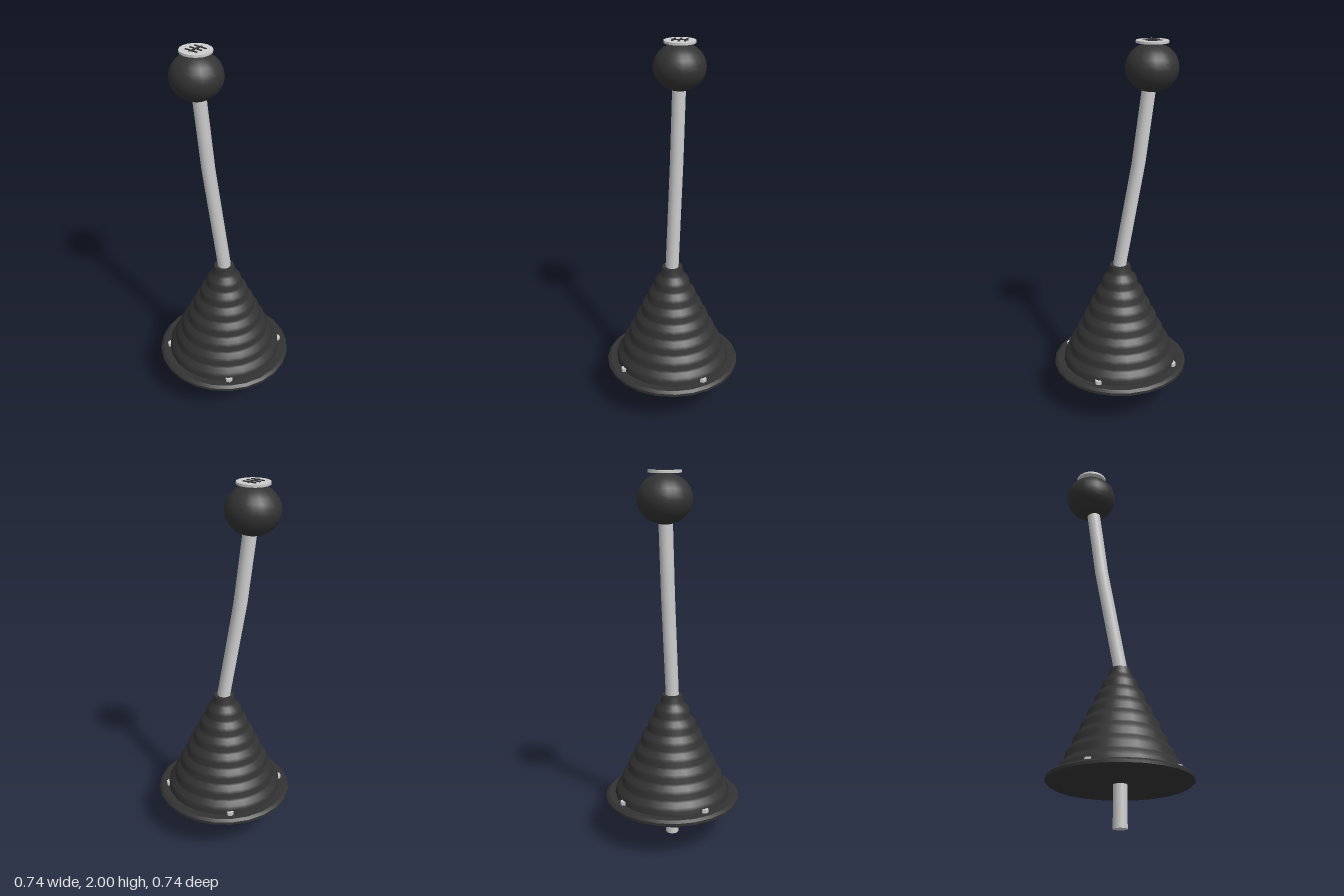
import * as THREE from 'three';
import { toCreasedNormals } from 'three/addons/utils/BufferGeometryUtils.js';

const SIDES = 24;
const KNOB_X = -0.175;

export function createModel() {
  const group = new THREE.Group();
  const rubber = new THREE.MeshStandardMaterial({ color: 0x333333 });
  rubber.name = 'blackRubber';
  const metal = new THREE.MeshStandardMaterial({ color: 0xcccccc });
  metal.name = 'lightMetal';

  const add = (name, geometry, material, x = 0, y = 0, z = 0) => {
    const mesh = new THREE.Mesh(geometry, material);
    mesh.name = name;
    mesh.position.set(x, y, z);
    group.add(mesh);
    return mesh;
  };
  const lathe = (points) =>
    new THREE.LatheGeometry(points.map(([r, y]) => new THREE.Vector2(r, y)), SIDES);

  // Base flange with bevelled rim
  const flange = lathe([
    [0, 0.213], [0.355, 0.213], [0.37, 0.225], [0.37, 0.24], [0.355, 0.252], [0, 0.252],
  ]);
  add('baseFlange', toCreasedNormals(flange, 0.5), rubber);

  // Ribbed boot: seven rounded tiers stepping inwards, then a plain collar
  const boot = [];
  const tiers = 7;
  for (let i = 0; i < tiers; i++) {
    const r = 0.317 - i * 0.0365;
    const y = 0.25 + i * 0.076;
    boot.push([r, y], [r - 0.003, y + 0.027], [r - 0.011, y + 0.046], [r - 0.03, y + 0.064]);
  }
  boot.push([0.0615, 0.785], [0.055, 0.82]);
  add('boot', lathe(boot), rubber);
  add('bootTop', new THREE.CircleGeometry(0.055, SIDES).rotateX(-Math.PI / 2), rubber, 0, 0.82, 0);

  // Lever rod: a cylinder whose rings follow the bent centre line
  const path = [[-0.165, 1.8], [-0.106, 1.38], [0, 0.83], [0, 0]];
  const rod = new THREE.CylinderGeometry(0.036, 0.036, 1, 16, path.length - 1);
  const pos = rod.attributes.position;
  for (let i = 0; i < pos.count; i++) {
    const [x, y] = path[Math.round((0.5 - pos.getY(i)) * (path.length - 1))];
    pos.setX(i, pos.getX(i) + x);
    pos.setY(i, y);
  }
  add('leverRod', rod, metal);

  // Slightly flattened knob with a thin cap plate
  const knob = add('knob', new THREE.SphereGeometry(0.137, 20, 14), rubber, KNOB_X, 1.863, 0);
  knob.scale.y = 0.122 / 0.137;
  add('knobCap', new THREE.CylinderGeometry(0.083, 0.083, 0.012, 16), metal, KNOB_X, 1.99, 0);

  // Gear pattern on the cap
  add('patternSpine', new THREE.BoxGeometry(0.009, 0.006, 0.087), rubber, KNOB_X, 1.997, 0);
  for (const z of [-0.032, 0, 0.032]) {
    add('patternBar', new THREE.BoxGeometry(0.075, 0.006, 0.008), rubber, KNOB_X, 1.997, z);
  }

  // Hexagonal bolts around the flange
  for (let i = 0; i < 4; i++) {
    const a = Math.PI / 4 + (i * Math.PI) / 2;
    const r = 0.311;
    const bolt = new THREE.CylinderGeometry(0.02, 0.02, 0.022, 6);
    add('bolt', toCreasedNormals(bolt, 0.5), metal, r * Math.cos(a), 0.261, r * Math.sin(a));
  }
  return group;
}
